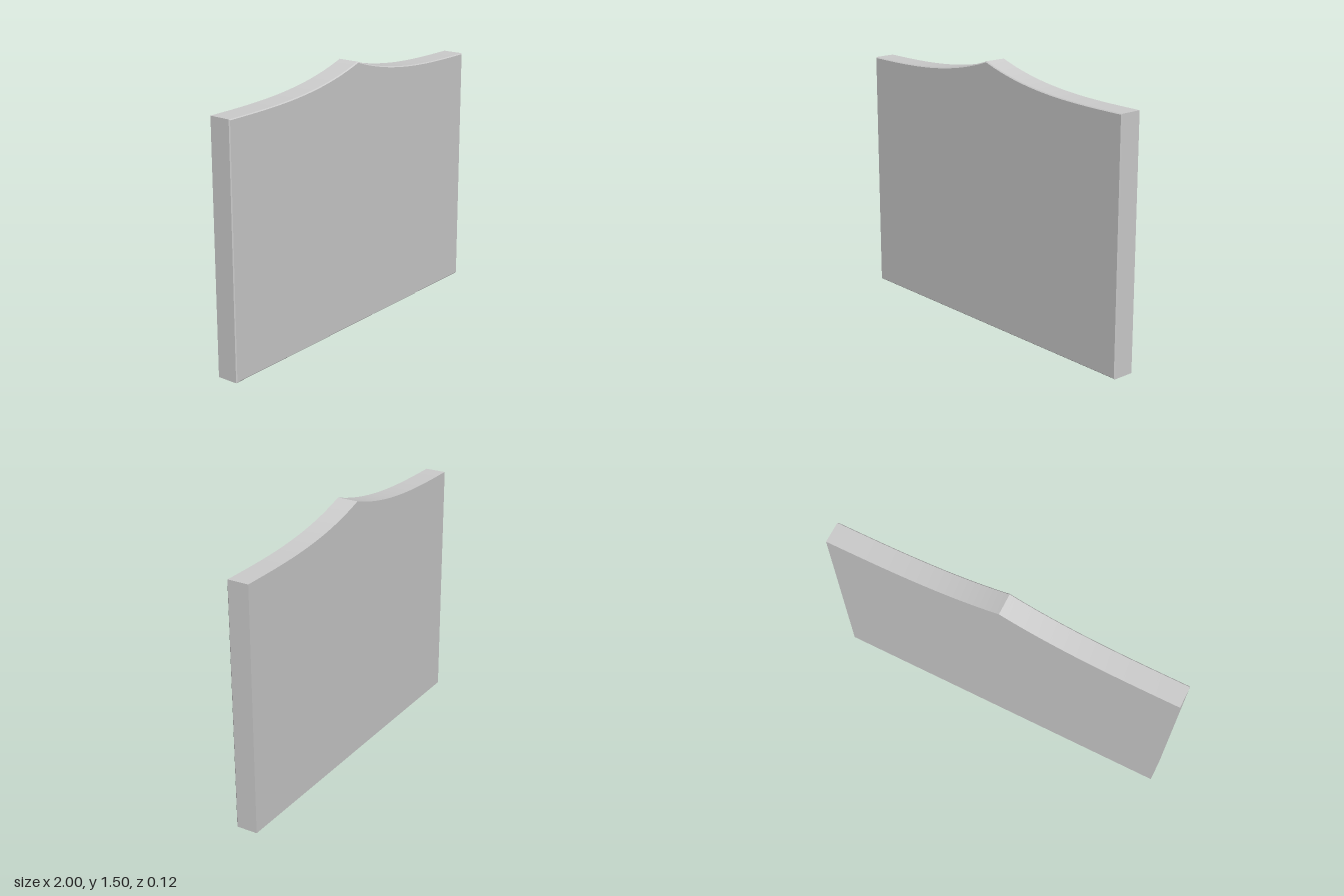
import * as THREE from 'three';
import { toCreasedNormals } from 'three/addons/utils/BufferGeometryUtils.js';

const DEPTH = 0.125, SHOULDER = 1.385, RISE = 0.115, CHAMFER = 0.005, SEGMENTS = 32;

// Outline: straight sides and base, two concave curves meeting in a central peak
function panelShape() {
  const shape = new THREE.Shape();
  shape.moveTo(-1, 0);
  shape.lineTo(1, 0);
  for (let i = 0; i <= 2 * SEGMENTS; i++) {
    const x = 1 - i / SEGMENTS;
    shape.lineTo(x, SHOULDER + RISE * Math.pow(1 - Math.abs(x), 3));
  }
  shape.closePath();
  return shape;
}

export function createModel() {
  const group = new THREE.Group();
  group.name = 'peakedPanel';

  const geometry = new THREE.ExtrudeGeometry(panelShape(), { depth: DEPTH, steps: 2, bevelEnabled: false });

  // Fine chamfer around the front face: the middle ring moves forward, the front ring shrinks
  const p = geometry.attributes.position;
  for (let i = 0; i < p.count; i++) {
    const z = p.getZ(i);
    if (z > DEPTH * 0.9) {
      p.setX(i, p.getX(i) * (1 - CHAMFER));
      p.setY(i, 0.7 + (p.getY(i) - 0.7) * (1 - CHAMFER / 0.7));
    } else if (z > DEPTH * 0.1) {
      p.setZ(i, DEPTH - CHAMFER);
    }
  }
  geometry.translate(0, 0, -DEPTH / 2);

  const panel = new THREE.Mesh(
    toCreasedNormals(geometry, 0.3),
    new THREE.MeshStandardMaterial({ color: 0xcccccc })
  );
  panel.name = 'panel';
  group.add(panel);
  return group;
}
